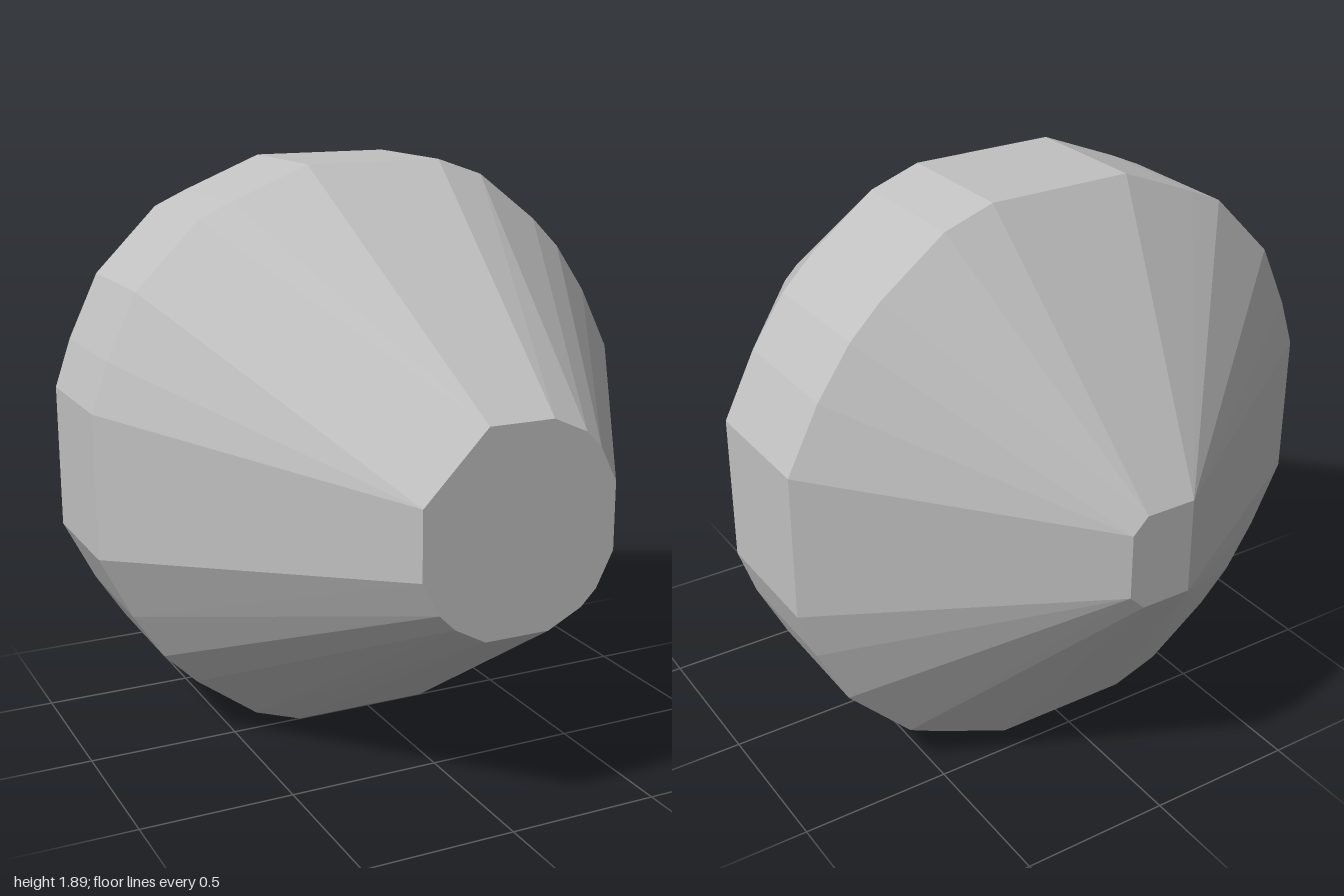
import * as THREE from 'three';
import { ConvexGeometry } from 'three/addons/geometries/ConvexGeometry.js';

// Cross-sections as [x, y] outlines, clockwise from the top left
const noseOutline = [
  [-0.11, 1.26], [0.1, 1.26], [0.21, 1.21], [0.26, 1.16], [0.315, 1.05],
  [0.315, 0.84], [0.26, 0.73], [0.21, 0.68], [0.1, 0.625], [-0.11, 0.625],
  [-0.21, 0.68], [-0.26, 0.73], [-0.315, 0.835], [-0.315, 1.05],
];
const rimOutline = [
  [-0.21, 1.895], [0.26, 1.895], [0.42, 1.84], [0.63, 1.68], [0.73, 1.58], [0.84, 1.42],
  [0.945, 1.21], [0.945, 0.74], [0.89, 0.58], [0.79, 0.38], [0.575, 0.16], [0.47, 0.11],
  [0.21, 0], [-0.26, 0], [-0.42, 0.055], [-0.63, 0.21], [-0.74, 0.32], [-0.84, 0.475],
  [-0.945, 0.685], [-0.945, 1.16], [-0.89, 1.32], [-0.79, 1.53], [-0.58, 1.74], [-0.47, 1.79],
];
const tailOutline = [
  [-0.055, 1.11], [0.11, 1.11], [0.16, 1.06], [0.16, 0.85], [0.11, 0.8], [-0.055, 0.8],
];

const section = (outline, z) => outline.map(([x, y]) => new THREE.Vector3(x, y, z));

export function createModel() {
  const group = new THREE.Group();
  group.name = 'facetedStone';

  const grey = new THREE.MeshStandardMaterial({ color: 0xc0c0c0 });
  grey.name = 'light grey';

  // Faceted convex body: flat nose, straight rim band, narrow tail
  const body = new THREE.Mesh(
    new ConvexGeometry([
      ...section(noseOutline, 1),
      ...section(rimOutline, 0),
      ...section(rimOutline, -0.42),
      ...section(tailOutline, -1),
    ]),
    grey,
  );
  body.name = 'body';
  group.add(body);
  return group;
}
